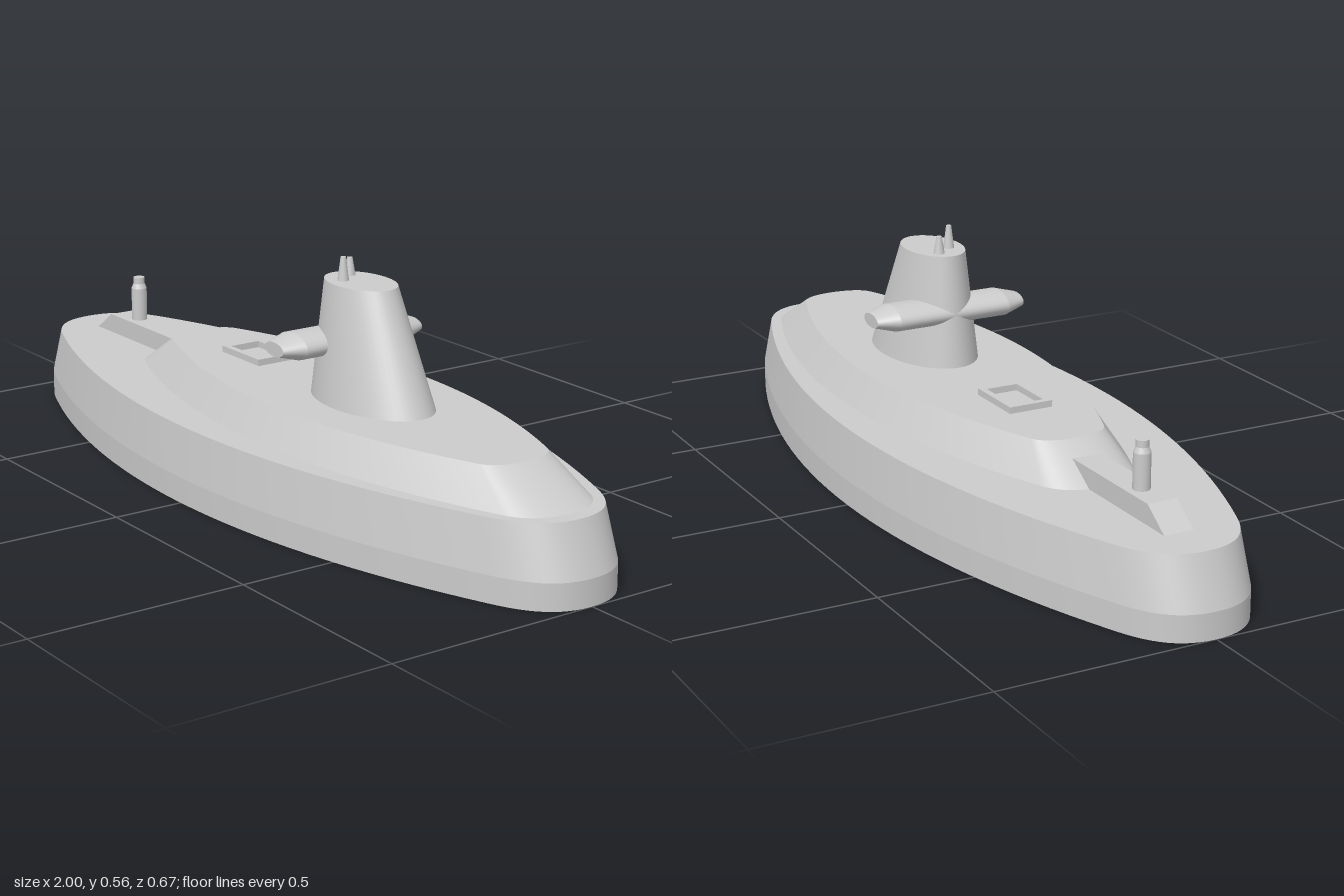
import * as THREE from 'three';
import { mergeGeometries } from 'three/addons/utils/BufferGeometryUtils.js';

const material = new THREE.MeshStandardMaterial({ color: 0xcccccc });

// Boat-shaped plan: bowed sides of half width w, rounded ends starting at half width zc, inset e
function boatOutline(c, a, w, zc, e) {
  const cx = a - e, slope = 2 * (w - zc) / cx;
  const end = new THREE.CubicBezierCurve(
    new THREE.Vector2(a, 0), new THREE.Vector2(a, zc * 0.5),
    new THREE.Vector2(cx + e * 0.65, zc - slope * e * 0.65), new THREE.Vector2(cx, zc));
  const quarter = end.getPoints(12);
  for (let i = 1; i <= 16; i++) {
    const x = cx * (1 - i / 16);
    quarter.push(new THREE.Vector2(x, w - (w - zc) * (x / cx) ** 2));
  }
  const mirrored = quarter.slice(0, -1).reverse().map(p => new THREE.Vector2(-p.x, p.y));
  const half = [...quarter, ...mirrored];
  const other = half.slice(1, -1).reverse().map(p => new THREE.Vector2(p.x, -p.y));
  return [...half, ...other].map(p => [p.x + c, p.y]);
}

function ellipseOutline(c, a, b, n = 48) {
  return Array.from({ length: n }, (_, i) => {
    const t = i / n * Math.PI * 2;
    return [c + a * Math.cos(t), b * Math.sin(t)];
  });
}

function indexed(positions, index) {
  const g = new THREE.BufferGeometry();
  g.setAttribute('position', new THREE.Float32BufferAttribute(positions, 3));
  g.setIndex(index);
  g.computeVertexNormals();
  return g;
}

// Stacked outlines [y, points]: smooth around, sharp between bands, closed by flat caps
function loft(levels) {
  const n = levels[0][1].length, parts = [];
  const ring = ([y, pts]) => pts.flatMap(([x, z]) => [x, y, z]);
  for (let k = 0; k + 1 < levels.length; k++) {
    const index = [];
    for (let i = 0; i < n; i++) {
      const j = (i + 1) % n;
      index.push(i, n + i, n + j, i, n + j, j);
    }
    parts.push(indexed([...ring(levels[k]), ...ring(levels[k + 1])], index));
  }
  for (const top of [false, true]) {
    const level = levels[top ? levels.length - 1 : 0], index = [];
    for (let i = 1; i + 1 < n; i++) index.push(0, ...(top ? [i + 1, i] : [i, i + 1]));
    parts.push(indexed(ring(level), index));
  }
  return mergeGeometries(parts);
}

export function createModel() {
  const model = new THREE.Group();
  const add = (name, geometry, x = 0, y = 0, z = 0) => {
    const mesh = new THREE.Mesh(geometry, material);
    mesh.name = name;
    mesh.position.set(x, y, z);
    model.add(mesh);
    return mesh;
  };

  // Hull with a straight foot and a slight inward taper
  const plan = boatOutline(0, 1, 0.333, 0.155, 0.125);
  add('hull', loft([[0, plan], [0.06, plan], [0.174, plan.map(p => p.map(v => v * 0.96))]]));

  // Raised deck with sloping sides
  add('upperDeck', loft([
    [0.174, boatOutline(0.18, 0.745, 0.25, 0.115, 0.07)],
    [0.248, boatOutline(0.17, 0.62, 0.207, 0.09, 0.04)]]));

  // Conning tower, swept and narrowing upwards
  add('tower', loft([
    [0.248, ellipseOutline(0.268, 0.178, 0.108)],
    [0.508, ellipseOutline(0.222, 0.102, 0.067)]]));

  // Stubby side planes running through the tower
  const body = ellipseOutline(0, 0.058, 0.03, 32), tip = ellipseOutline(0, 0.036, 0.016, 32);
  add('sidePlanes', loft([[-0.19, tip], [-0.14, body], [0.14, body], [0.19, tip]])
    .rotateX(Math.PI / 2), 0.162, 0.37, 0);

  // Periscopes on the tower
  for (const [x, z, h] of [[0.16, -0.015, 0.041], [0.193, 0.027, 0.054]]) {
    add('periscope', new THREE.CylinderGeometry(0.006, 0.013, h, 20), x, 0.507 + h / 2, z);
  }

  // Rectangular hatch frame
  const rect = (Type, w, h) => new Type([[-w, -h], [w, -h], [w, h], [-w, h]]
    .map(([x, y]) => new THREE.Vector2(x, y)));
  const frame = rect(THREE.Shape, 0.075, 0.053);
  frame.holes.push(rect(THREE.Path, 0.06, 0.038));
  add('hatchFrame', new THREE.ExtrudeGeometry(frame, { depth: 0.016, bevelEnabled: false })
    .rotateX(-Math.PI / 2), -0.175, 0.247, 0);

  // Sloped ridge on the stern deck
  const ridge = new THREE.Shape([[-0.86, 0.17], [-0.45, 0.17], [-0.45, 0.22], [-0.79, 0.22]]
    .map(([x, y]) => new THREE.Vector2(x, y)));
  add('sternRidge', new THREE.ExtrudeGeometry(ridge, { depth: 0.07, bevelEnabled: false }), 0, 0, -0.035);

  // Stern post with a narrower cap
  add('sternPost', new THREE.CylinderGeometry(0.019, 0.019, 0.085, 24), -0.71, 0.258, 0);
  add('sternPostShoulder', new THREE.CylinderGeometry(0.014, 0.019, 0.012, 24), -0.71, 0.3065, 0);
  add('sternPostCap', new THREE.CylinderGeometry(0.014, 0.014, 0.016, 24), -0.71, 0.32, 0);

  return model;
}
